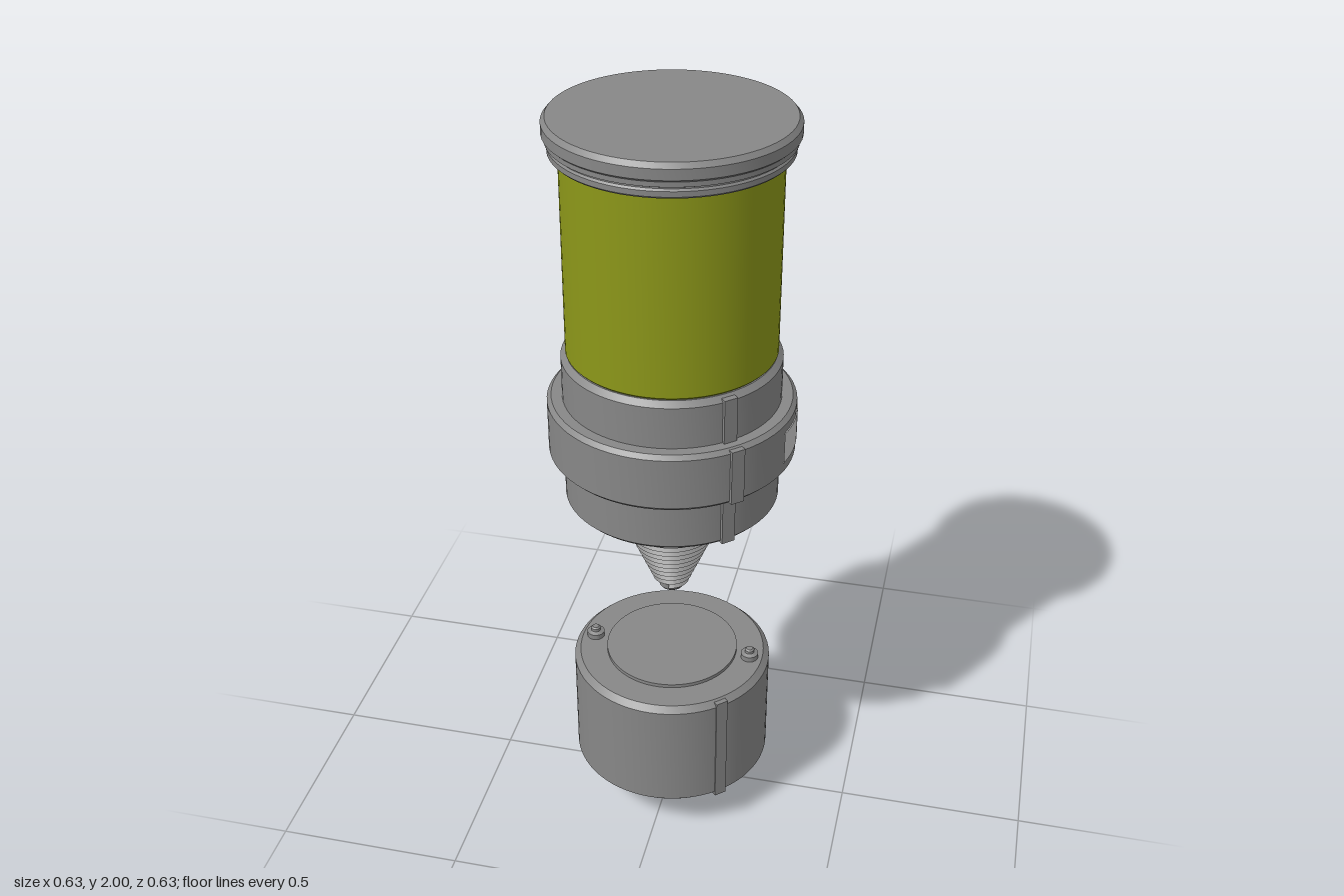
import * as THREE from 'three';
import { toCreasedNormals } from 'three/addons/utils/BufferGeometryUtils.js';

const dark = new THREE.MeshStandardMaterial({ color: 0x878787 });
const olive = new THREE.MeshStandardMaterial({ color: 0x8c9719 });
const pale = new THREE.MeshStandardMaterial({ color: 0xcccccc, side: THREE.DoubleSide });

const RIB_ANGLE = THREE.MathUtils.degToRad(42.4);

function addMesh(parent, name, geometry, material = dark) {
  const mesh = new THREE.Mesh(geometry, material);
  mesh.name = name;
  parent.add(mesh);
  return mesh;
}

// Turned solid from [radius, height] pairs listed bottom to top
function turned(parent, name, profile, material = dark, segments = 72) {
  const points = profile.map(([r, y]) => new THREE.Vector2(r, y));
  return addMesh(parent, name, toCreasedNormals(new THREE.LatheGeometry(points, segments), 0.5), material);
}

// Closed drum with chamfered rims
function drum(parent, name, r, y0, y1, bevel, material) {
  return turned(parent, name, [
    [0, y0], [r - bevel, y0], [r, y0 + bevel], [r, y1 - bevel], [r - bevel, y1], [0, y1],
  ], material);
}

// Upright rib set into a drum, its outer face at radius r
function rib(parent, name, r, y0, y1, width = 0.036) {
  const depth = 0.03;
  const mesh = addMesh(parent, name, new THREE.BoxGeometry(width, y1 - y0, depth));
  const mid = r - depth / 2;
  mesh.position.set(Math.sin(RIB_ANGLE) * mid, (y0 + y1) / 2, Math.cos(RIB_ANGLE) * mid);
  mesh.rotation.y = RIB_ANGLE;
}

// Tapered helical thread: a zigzag turned profile whose rows climb one pitch per turn
function threadGeometry(yBottom, yTop, rBottom, rTop, turns, depth) {
  const pitch = (yTop - yBottom) / turns;
  const rows = 2 * turns;
  const points = [];
  for (let i = 0; i <= rows; i++) points.push(new THREE.Vector2(1, yBottom + (i * pitch) / 2));
  const segments = 64;
  const geometry = new THREE.LatheGeometry(points, segments);
  const pos = geometry.attributes.position;
  for (let s = 0; s <= segments; s++) {
    const phi = (s / segments) * Math.PI * 2;
    for (let i = 0; i <= rows; i++) {
      const y = yBottom + (i / 2 + s / segments) * pitch;
      const t = (y - yBottom) / (yTop - yBottom);
      const r = THREE.MathUtils.lerp(rBottom, rTop, t) - (i % 2 ? 0 : depth);
      pos.setXYZ(s * (rows + 1) + i, Math.sin(phi) * r, y, Math.cos(phi) * r);
    }
  }
  return toCreasedNormals(geometry, 0.5);
}

export function createModel() {
  const model = new THREE.Group();
  model.name = 'capsuleWithScrewAndCup';
  const body = new THREE.Group();
  body.position.x = -0.003;
  model.add(body);

  // Lower cup with its tapered foot
  const cup = new THREE.Group();
  cup.name = 'cup';
  body.add(cup);
  drum(cup, 'cupBody', 0.27, 0.115, 0.453, 0.016);
  turned(cup, 'cupFoot', [[0, 0], [0.064, 0], [0.132, 0.118], [0, 0.118]]);
  turned(cup, 'cupTopDisc', [[0.18, 0.45], [0.18, 0.463], [0, 0.463]]);
  rib(cup, 'cupRib', 0.272, 0.118, 0.448, 0.034);
  for (const side of [-1, 1]) {
    const pin = turned(cup, side > 0 ? 'leftPin' : 'rightPin', [
      [0.024, 0.45], [0.024, 0.468], [0.013, 0.472], [0.013, 0.48], [0.009, 0.484], [0, 0.484],
    ], dark, 20);
    pin.position.x = side * 0.219;
  }

  // Screw and its shank
  const screw = new THREE.Group();
  screw.name = 'screw';
  body.add(screw);
  addMesh(screw, 'screwThread', threadGeometry(0.675, 0.92, 0.04, 0.143, 13, 0.018));
  turned(screw, 'screwTip', [[0, 0.668], [0.029, 0.668], [0.034, 0.674], [0.034, 0.688], [0, 0.7]], dark, 32);
  turned(screw, 'screwShank', [[0, 0.92], [0.155, 0.92], [0.161, 0.926], [0.161, 0.985]]);

  // Collar, wide ring and ribs
  const collar = new THREE.Group();
  collar.name = 'collar';
  body.add(collar);
  drum(collar, 'lowerCollar', 0.276, 0.978, 1.125, 0.011);
  drum(collar, 'wideRing', 0.3145, 1.117, 1.274, 0.011);
  drum(collar, 'upperCollar', 0.276, 1.26, 1.398, 0.014);
  rib(collar, 'lowerCollarRib', 0.284, 0.982, 1.125);
  rib(collar, 'ringRib', 0.322, 1.122, 1.27);
  rib(collar, 'upperCollarRib', 0.284, 1.265, 1.392);

  // Pale curved plate on the left of the ring
  const plateStart = THREE.MathUtils.degToRad(73.5);
  const plateSweep = THREE.MathUtils.degToRad(38);
  const plateProfile = [[0.31, 1.156], [0.317, 1.156], [0.317, 1.24], [0.31, 1.24]]
    .map(([r, y]) => new THREE.Vector2(r, y));
  addMesh(collar, 'sidePlate',
    toCreasedNormals(new THREE.LatheGeometry(plateProfile, 16, plateStart, plateSweep), 0.5), pale);

  // Coloured canister
  drum(body, 'canister', 0.264, 1.39, 1.922, 0.014, olive);

  // Stepped lid
  turned(body, 'lid', [
    [0, 1.914], [0.283, 1.914], [0.288, 1.919], [0.288, 1.932], [0.284, 1.937],
    [0.284, 1.94], [0.293, 1.944], [0.293, 1.956], [0.3, 1.962], [0.3, 1.988],
    [0.29, 2], [0, 2],
  ]);
  return model;
}
